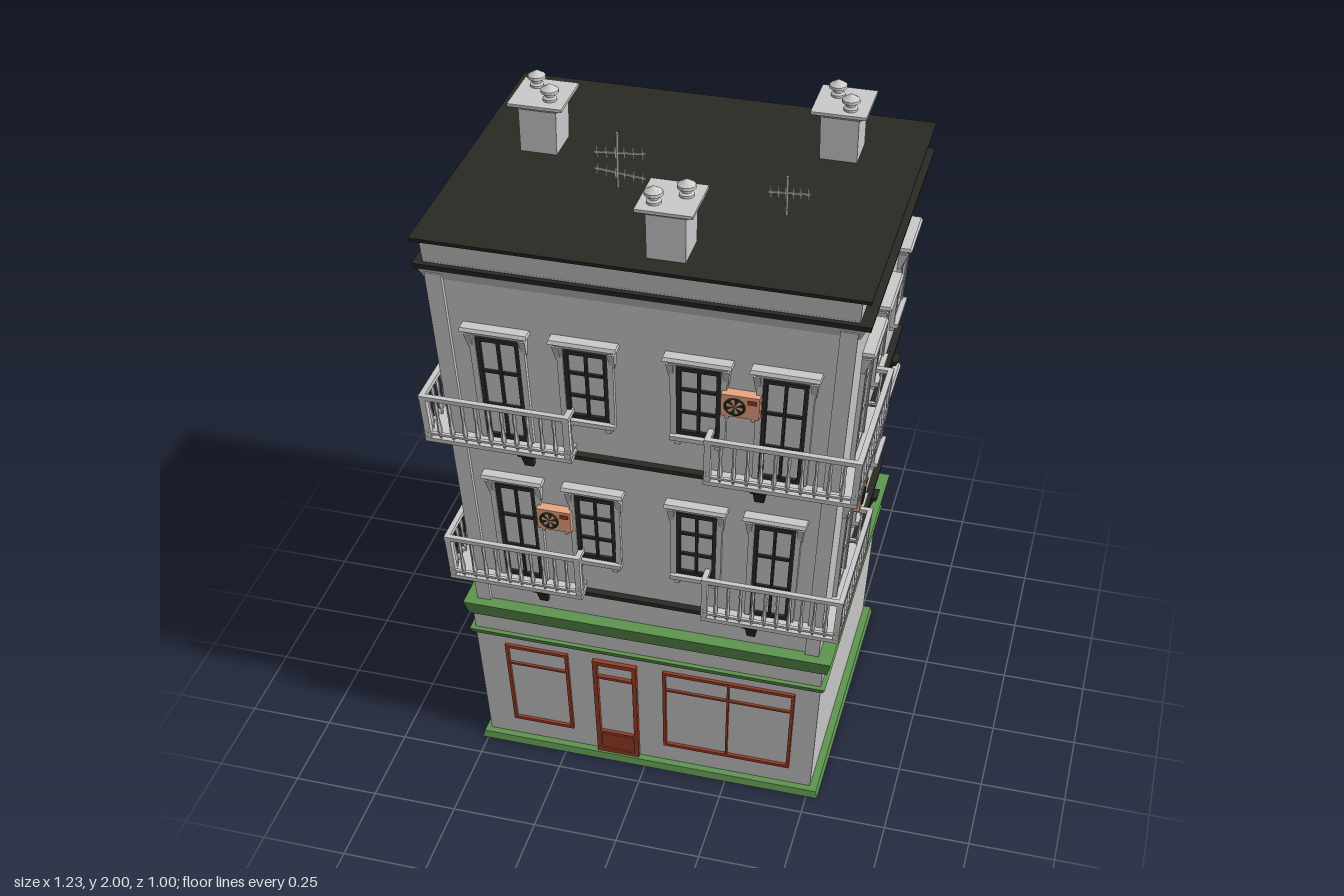
import * as THREE from 'three';
import { mergeGeometries } from 'three/addons/utils/BufferGeometryUtils.js';

const W = 0.55, D = 0.435; // half width and half depth of the untapered house
const GREY = 0xcccccc, DARK = 0x292a24, GREEN = 0x5f9650, RED = 0x9c3f28, ORANGE = 0xeba784;
const FRONT = 0, RIGHT = Math.PI / 2, BACK = Math.PI, LEFT = -Math.PI / 2;

// Walls lean outwards: each storey block widens towards its top
function warp(geo) {
  const p = geo.attributes.position;
  for (let i = 0; i < p.count; i++) {
    const y = p.getY(i), up = y >= 0.5;
    const kx = (up ? 0.512 + 0.061 * (y - 0.55) : 0.5 + 0.052 * y) / W;
    const kz = (up ? 0.417 + 0.036 * (y - 0.55) : 0.418 + 0.045 * y) / D;
    p.setX(i, p.getX(i) * kx + 0.005);
    p.setZ(i, p.getZ(i) * kz - (up ? 0.003 : 0.01));
  }
  return geo;
}

// Box with its own bottom and top sizes, standing on y = 0
function block(w0, d0, w1, d1, h) {
  const g = new THREE.BoxGeometry(1, h, 1).translate(0, h / 2, 0);
  const p = g.attributes.position;
  for (let i = 0; i < p.count; i++) {
    const top = p.getY(i) > h / 2;
    p.setX(i, p.getX(i) * (top ? w1 : w0));
    p.setZ(i, p.getZ(i) * (top ? d1 : d0));
  }
  return g;
}

// Box from its limits
function span(x0, x1, y0, y1, z0, z1) {
  return new THREE.BoxGeometry(x1 - x0, y1 - y0, z1 - z0)
    .translate((x0 + x1) / 2, (y0 + y1) / 2, (z0 + z1) / 2);
}

function createModel() {
  const house = new THREE.Group();
  house.name = 'house';

  const add = (name, color, geos, lean = false, parent = house) => {
    const g = mergeGeometries([geos].flat().map((q) => (q.index ? q.toNonIndexed() : q)));
    if (lean) warp(g);
    g.computeVertexNormals();
    const m = new THREE.Mesh(g, new THREE.MeshStandardMaterial({ color, flatShading: true }));
    m.name = name;
    parent.add(m);
    return m;
  };

  // Moves parts drawn as (u along the wall, y, outwards) onto one wall
  const onWall = (side, geos) => {
    const dist = side === FRONT || side === BACK ? D : W;
    return geos.map((g) => g.translate(0, 0, dist).rotateY(side));
  };

  // Walls, parapet and corner strips
  add('groundFloorWalls', GREY, span(-W, W, 0.005, 0.499, -D, D), true);
  add('upperWalls', GREY, span(-W, W, 0.5, 1.72, -D, D), true);
  const strips = [];
  for (const s of [-1, 1])
    for (const side of [FRONT, BACK])
      strips.push(...onWall(side, [span(s * (W - 0.022) - 0.022, s * (W - 0.022) + 0.022, 0.53, 1.69, -0.01, 0.012)]));
  add('cornerStrips', GREY, strips, true);
  add('parapet', GREY, block(1.17, 0.93, 1.18, 0.945, 0.075).translate(0.003, 1.713, -0.01));

  // Horizontal bands: [name, colour, y, height, bottom size, top size, centre]
  const bands = [
    ['baseTrim', GREEN, 0, 0.022, 1.05, 0.885, 1.04, 0.875, 0.008, -0.008],
    ['shopTrim', GREEN, 0.425, 0.018, 1.06, 0.885, 1.075, 0.9, 0.005, -0.008],
    ['shopCornice', GREEN, 0.505, 0.048, 1.075, 0.905, 1.1, 0.93, 0.008, -0.01],
    ['eavesMoulding', GREY, 1.665, 0.035, 1.17, 0.925, 1.2, 0.955, 0.005, -0.01],
    ['eavesTrim', DARK, 1.7, 0.016, 1.225, 0.965, 1.23, 0.97, 0.006, -0.014],
    ['roof', DARK, 1.783, 0.013, 1.225, 0.97, 1.23, 0.98, 0.004, -0.013],
  ];
  for (const [name, color, y, h, w0, d0, w1, d1, x, z] of bands)
    add(name, color, block(w0, d0, w1, d1, h).translate(x, y, z));

  // Rectangular frame with bars
  const frame = (u, w, y0, y1, t, d, cols = [], rows = []) => {
    const a = u - w / 2, b = u + w / 2, out = [
      span(a, a + t, y0, y1, -0.01, d), span(b - t, b, y0, y1, -0.01, d),
      span(a + t, b - t, y1 - t, y1, -0.01, d), span(a + t, b - t, y0, y0 + t, -0.01, d)];
    for (const c of cols) out.push(span(a + w * c - t / 3, a + w * c + t / 3, y0 + t, y1 - t, -0.01, d * 0.8));
    for (const r of rows) out.push(span(a + t, b - t, r - t / 3, r + t / 3, -0.01, d * 0.8));
    return out;
  };

  // Shop front, repeated in plain grey at the back
  for (const [side, s, color, name] of [[FRONT, 1, RED, 'shopFront'], [BACK, -1, GREY, 'rearShopFront']]) {
    add(name + 'Frames', color, onWall(side, [
      ...frame(s * -0.355, 0.205, 0.09, 0.395, 0.01, 0.01, [], [0.322]),
      ...frame(s * 0.265, 0.42, 0.09, 0.395, 0.01, 0.01, [0.5], [0.322]),
      ...frame(s * -0.1, 0.142, 0.022, 0.395, 0.014, 0.014, [], [0.33, 0.1])]), true);
    add(name + 'DoorPanel', color, onWall(side, [span(s * -0.1 - 0.055, s * -0.1 + 0.055, 0.03, 0.092, -0.01, 0.009)]), true);
  }

  // Upper windows with surround, hood and sill; tall ones open onto balconies
  const walls = [
    { side: FRONT, name: 'front', color: DARK, at: [[-0.38, 1], [-0.143, 0], [0.158, 0], [0.385, 1]] },
    { side: RIGHT, name: 'left', color: GREY, at: [[-0.23, 1], [-0.005, 0], [0.295, 0]] },
    { side: LEFT, name: 'right', color: GREY, at: [[0.23, 1], [0.005, 0], [-0.295, 0]] },
  ];
  for (const { side, name, color, at } of walls) {
    const sashes = [], trims = [];
    for (const floor of [0.66, 1.16])
      for (const [u, tall] of at) {
        const y0 = floor + (tall ? 0.01 : 0.12), y1 = floor + 0.342, h = y1 - y0;
        sashes.push(...frame(u, 0.118, y0, y1, 0.012, 0.01, [0.5], [y0 + h / 3, y0 + (h * 2) / 3]));
        for (const s of [-1, 1]) {
          trims.push(span(u + s * 0.067 - 0.008, u + s * 0.067 + 0.008, y0, y1 + 0.01, -0.01, 0.013));
          trims.push(block(0.012, 0.02, 0.02, 0.05, 0.05).translate(u + s * 0.073, y1 - 0.035, 0));
        }
        trims.push(block(0.15, 0.03, 0.168, 0.06, 0.022).translate(u, y1 + 0.008, 0));
        trims.push(block(0.182, 0.07, 0.178, 0.06, 0.01).translate(u, y1 + 0.03, 0));
        if (!tall) {
          trims.push(span(u - 0.075, u + 0.075, y0 - 0.014, y0, -0.01, 0.025));
          for (const s of [-1, 1]) trims.push(span(u + s * 0.055 - 0.008, u + s * 0.055 + 0.008, y0 - 0.032, y0 - 0.014, -0.01, 0.015));
        }
      }
    add(name + 'WindowSashes', color, onWall(side, sashes), true);
    add(name + 'WindowSurrounds', GREY, onWall(side, trims), true);
  }

  // Dark floor ledges with corbels
  for (const y of [0.645, 1.145]) {
    const parts = [];
    for (const [side, a, b, spots] of [[FRONT, -W - 0.02, W + 0.02, [-0.325, 0.335]],
      [RIGHT, -D - 0.02, D - 0.025, [-0.245, 0.25]], [LEFT, -D + 0.025, D + 0.02, [0.245, -0.25]]]) {
      const geos = [span(a, b, y, y + 0.013, -0.01, 0.022)];
      for (const u of spots) {
        geos.push(block(0.026, 0.03, 0.034, 0.06, 0.045).translate(u, y - 0.055, 0));
        geos.push(block(0.046, 0.07, 0.05, 0.08, 0.014).translate(u, y - 0.012, 0));
      }
      parts.push(...onWall(side, geos));
    }
    add('floorLedge', DARK, parts, true);
  }

  // Corner balconies: L-shaped slab, rails and turned balusters
  const post = [[0.003, 0], [0.008, 0.03], [0.004, 0.075], [0.006, 0.1], [0.004, 0.13]].map((p) => new THREE.Vector2(...p));
  const baluster = new THREE.LatheGeometry(post, 6);
  const X = W + 0.058, Z = D + 0.054, X0 = 0.185, Z0 = 0.035;
  for (const s of [-1, 1])
    for (const y of [0.653, 1.153]) {
      const parts = [];
      const sx = (a, b, ...r) => span(Math.min(s * a, s * b), Math.max(s * a, s * b), ...r);
      const run = (y0, y1, t) => {
        parts.push(sx(X0, X, y0, y1, Z - t, Z), sx(X - t, X, y0, y1, Z0, Z - t));
        parts.push(sx(X0, X0 + t, y0, y1, D - 0.01, Z - t), sx(W - 0.01, X - t, y0, y1, Z0, Z0 + t));
      };
      parts.push(sx(X0, X, y, y + 0.013, D - 0.01, Z), sx(W - 0.01, X, y, y + 0.013, Z0, D - 0.01));
      run(y + 0.14, y + 0.153, 0.016);
      run(y + 0.024, y + 0.031, 0.01);
      const put = (x, z) => parts.push(baluster.clone().translate(s * x, y + 0.012, z));
      for (let i = 0; i <= 11; i++) put(X0 + 0.008 + ((X - X0 - 0.016) * i) / 11, Z - 0.008);
      for (let i = 0; i < 12; i++) put(X - 0.008, Z0 + 0.008 + ((Z - Z0 - 0.016) * i) / 12);
      put(X0 + 0.008, D + 0.022);
      put(W + 0.025, Z0 + 0.008);
      for (const [x, z] of [[X0 + 0.01, Z - 0.01], [X - 0.01, Z - 0.01], [X - 0.01, Z0 + 0.01]])
        parts.push(block(0.018, 0.018, 0.018, 0.018, 0.15).translate(s * x, y, z));
      add(s > 0 ? 'leftBalcony' : 'rightBalcony', GREY, parts, true);
    }

  // Air conditioners: case, fan and label
  for (const [side, u, y] of [[FRONT, -0.262, 0.915], [FRONT, 0.273, 1.415], [RIGHT, -0.11, 0.915], [LEFT, 0.11, 1.415]]) {
    const unit = new THREE.Group();
    unit.name = 'airConditioner';
    house.add(unit);
    const part = (name, color, geos) => add(name, color, onWall(side, geos), true, unit);
    part('case', ORANGE, [span(u - 0.051, u + 0.051, y - 0.034, y + 0.036, -0.01, 0.03),
      span(u - 0.04, u - 0.03, y - 0.044, y - 0.034, -0.01, 0.028), span(u + 0.03, u + 0.04, y - 0.044, y - 0.034, -0.01, 0.028)]);
    const fan = [new THREE.TorusGeometry(0.026, 0.003, 4, 16).translate(u - 0.014, y, 0.031)];
    for (let i = 0; i < 6; i++)
      fan.push(new THREE.CircleGeometry(0.024, 3, (i * Math.PI) / 3, 0.55).translate(u - 0.014, y, 0.032));
    part('fan', DARK, fan);
    part('panel', RED, [span(u + 0.02, u + 0.044, y + 0.014, y + 0.026, 0.028, 0.033)]);
  }

  // Chimneys, each with two pots
  const pot = new THREE.LatheGeometry([[0.02, 0], [0.02, 0.008], [0.013, 0.012], [0.014, 0.022], [0.026, 0.026],
    [0.025, 0.034], [0, 0.05]].map((p) => new THREE.Vector2(...p)), 12);
  for (const [x, z, pots] of [[-0.42, -0.105, [[-0.45, -0.145], [-0.39, -0.073]]],
    [0.392, -0.27, [[0.368, -0.3], [0.418, -0.225]]], [0.07, 0.358, [[0.033, 0.395], [0.105, 0.34]]]]) {
    add('chimney', GREY, [block(0.105, 0.115, 0.108, 0.118, 0.14).translate(x, 1.79, z),
      block(0.11, 0.12, 0.15, 0.16, 0.016).translate(x, 1.926, z),
      block(0.155, 0.167, 0.155, 0.167, 0.009).translate(x, 1.942, z)]);
    add('chimneyPots', GREY, pots.map(([px, pz]) => pot.clone().translate(px, 1.95, pz)));
  }

  // Roof aerials: mast, tilted booms and short cross rods
  const aerial = (x, z, top, booms) => {
    const parts = [new THREE.CylinderGeometry(0.004, 0.004, top - 1.79, 6).translate(x, (top + 1.79) / 2, z)];
    for (const [y, len, tilt] of booms) {
      const boom = [span(-len / 2, len / 2, -0.0025, 0.0025, -0.0025, 0.0025)];
      for (let i = 0; i < 6; i++) {
        const u = (i / 5 - 0.5) * len * 0.88;
        boom.push(span(u - 0.002, u + 0.002, -0.016, 0.016, -0.002, 0.002));
      }
      parts.push(...boom.map((g) => g.rotateZ(tilt).translate(x + 0.007, y, z)));
    }
    add('aerial', GREY, parts);
  };
  aerial(-0.155, 0.08, 1.962, [[1.9, 0.145, 0.08], [1.838, 0.145, -0.1]]);
  aerial(0.318, 0.11, 1.912, [[1.862, 0.115, 0.06]]);

  return house;
}

export { createModel };
